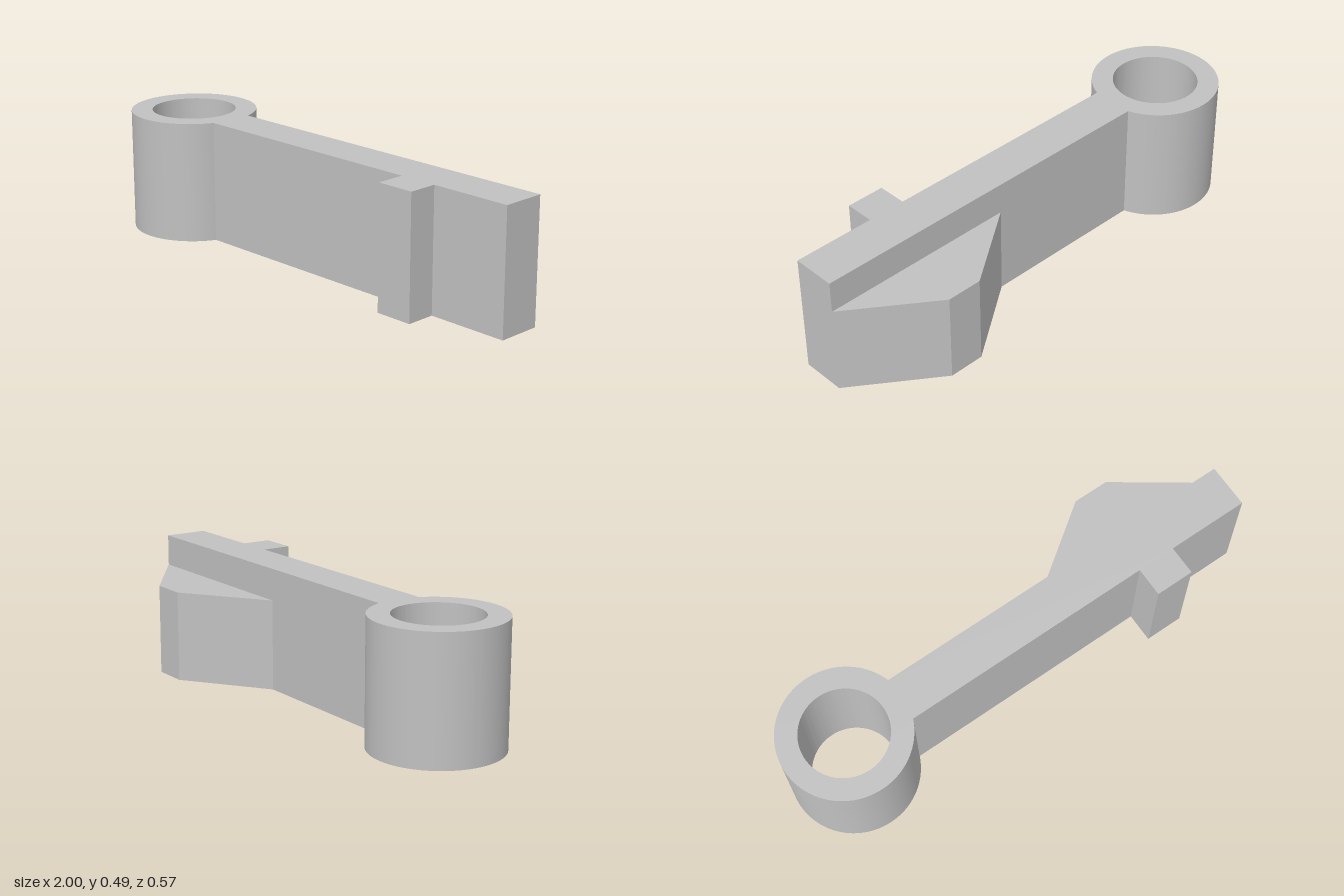
import * as THREE from 'three';
import { toCreasedNormals } from 'three/addons/utils/BufferGeometryUtils.js';

const HEIGHT = 0.49, WEDGE_HEIGHT = 0.363;
const BACK = -0.048, FRONT = 0.128, TAB_FRONT = 0.246; // z of the arm faces and tab
const RING = { x: -0.745, z: 0.03, outer: 0.255, inner: 0.17 };

// Plan outlines are drawn as (x, -z) and raised along y.
function raise(shape, height, material, name) {
  const geometry = new THREE.ExtrudeGeometry(shape, { depth: height, bevelEnabled: false, curveSegments: 64 });
  geometry.rotateX(-Math.PI / 2);
  const mesh = new THREE.Mesh(toCreasedNormals(geometry, 0.35), material);
  mesh.name = name;
  return mesh;
}

export function createModel() {
  const group = new THREE.Group();
  group.name = 'leverArm';
  const grey = new THREE.MeshStandardMaterial({ color: 0xc0c0c0 });
  grey.name = 'grey';

  // Ring, straight arm and front tab share one outline
  const body = new THREE.Shape();
  const start = Math.asin((RING.z - BACK) / RING.outer);
  const end = 2 * Math.PI - Math.asin((FRONT - RING.z) / RING.outer);
  body.absarc(RING.x, -RING.z, RING.outer, start, end, false);
  [[0.515, FRONT], [0.515, TAB_FRONT], [0.67, TAB_FRONT], [0.67, FRONT], [1, FRONT], [1, BACK]]
    .forEach(([x, z]) => body.lineTo(x, -z));
  body.closePath();

  // Round bore through the ring
  const bore = new THREE.Path();
  bore.absarc(RING.x, -RING.z, RING.inner, 0, 2 * Math.PI, true);
  body.holes.push(bore);
  group.add(raise(body, HEIGHT, grey, 'ringArmAndTab'));

  // Lower tapered block on the back
  const wedge = new THREE.Shape(
    [[0.19, BACK], [1, BACK], [0.665, -0.285], [0.52, -0.285]].map(([x, z]) => new THREE.Vector2(x, -z))
  );
  group.add(raise(wedge, WEDGE_HEIGHT, grey, 'backWedge'));

  return group;
}
